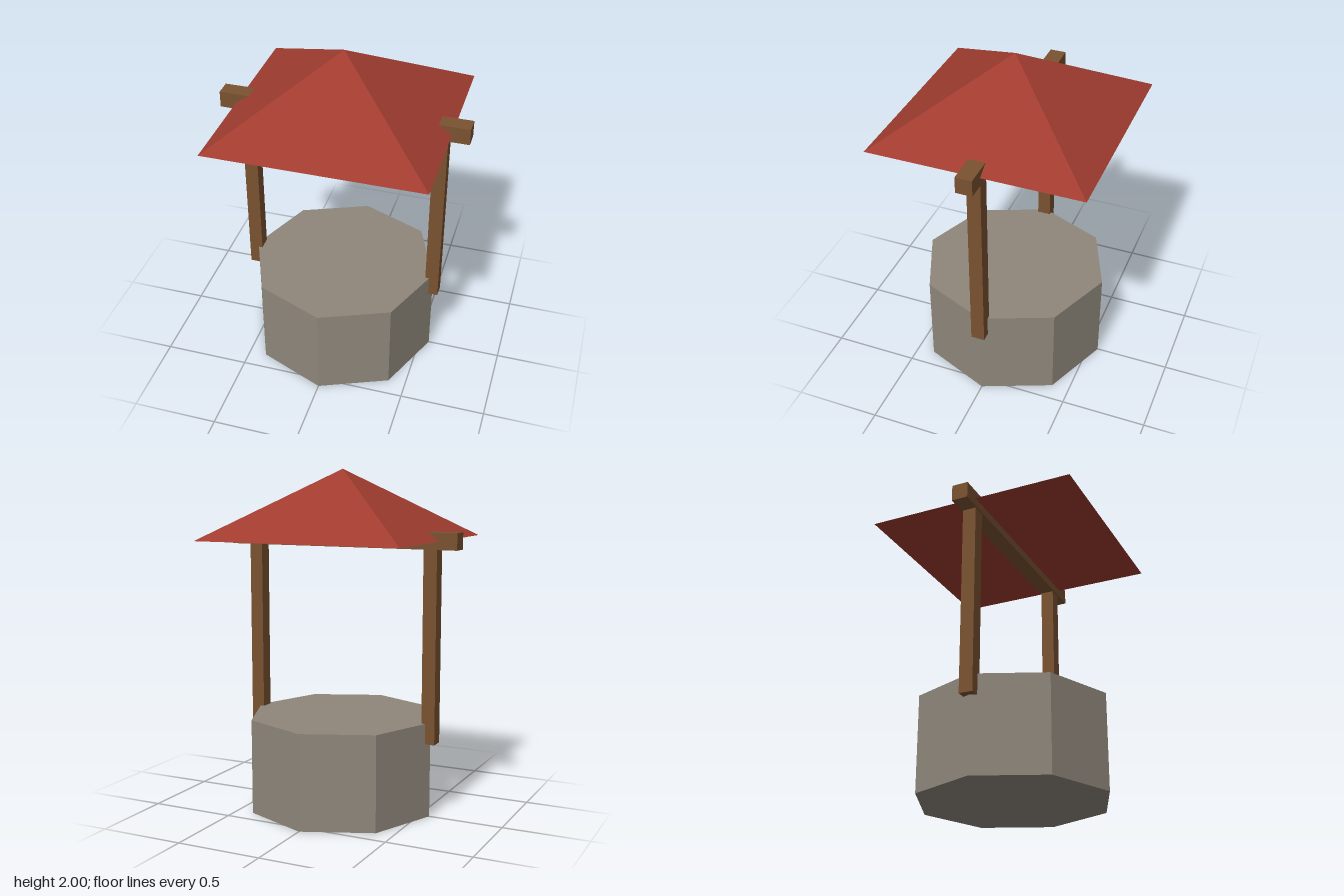
import * as THREE from 'three';

function material(name, color) {
  const m = new THREE.MeshStandardMaterial({ color, flatShading: true });
  m.name = name;
  return m;
}

export function createModel() {
  const model = new THREE.Group();
  model.name = 'well';
  const stone = material('stone', 0x8f877b);
  const wood = material('wood', 0x7a5230);
  const tile = material('roofRed', 0xa03c2f);

  const add = (name, geometry, mat, x, y) => {
    const mesh = new THREE.Mesh(geometry, mat);
    mesh.name = name;
    mesh.position.set(x, y, 0);
    model.add(mesh);
  };

  // Eight-sided solid base, corners on the axes
  add('stoneBase', new THREE.CylinderGeometry(0.56, 0.56, 0.56, 8), stone, 0, 0.28);

  // Posts partly sunk into the sides of the base
  for (const [name, side] of [['leftPost', 1], ['rightPost', -1]]) {
    add(name, new THREE.BoxGeometry(0.08, 1.12, 0.08), wood, side * 0.56, 1.0);
  }

  // Cross beam poking out through the roof
  add('crossBeam', new THREE.BoxGeometry(1.44, 0.096, 0.096), wood, 0, 1.603);

  // Square pyramid roof with a closed underside
  const roof = new THREE.ConeGeometry(0.875, 0.397, 4);
  roof.rotateY(Math.PI / 4);
  add('roof', roof, tile, 0, 1.8015);

  return model;
}
